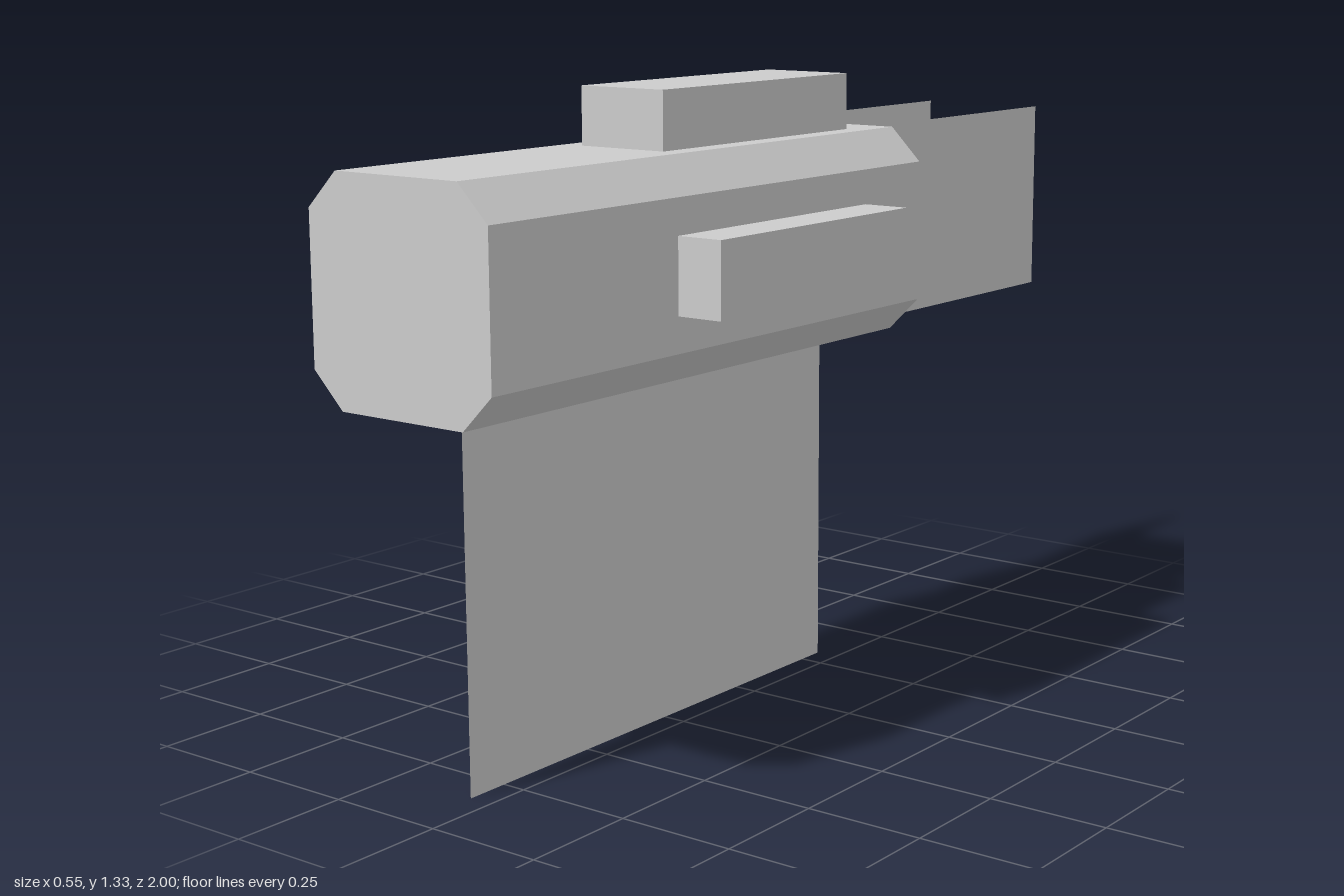
import * as THREE from 'three';

export function createModel() {
  const group = new THREE.Group();
  const grey = new THREE.MeshStandardMaterial({ color: 0xcccccc });
  const greySheet = new THREE.MeshStandardMaterial({ color: 0xcccccc, side: THREE.DoubleSide });
  grey.name = 'grey';
  greySheet.name = 'greySheet';

  const add = (name, geometry, material = grey) => {
    const mesh = new THREE.Mesh(geometry, material);
    mesh.name = name;
    group.add(mesh);
    return mesh;
  };

  // Box given by its limits on each axis
  const box = (name, [x0, x1], [y0, y1], [z0, z1]) =>
    add(name, new THREE.BoxGeometry(x1 - x0, y1 - y0, z1 - z0))
      .position.set((x0 + x1) / 2, (y0 + y1) / 2, (z0 + z1) / 2);

  // Upright flat sheet lying in the y-z plane
  const sheet = (name, x, [y0, y1], [z0, z1]) => {
    const geometry = new THREE.PlaneGeometry(z1 - z0, y1 - y0).rotateY(Math.PI / 2);
    add(name, geometry, greySheet).position.set(x, (y0 + y1) / 2, (z0 + z1) / 2);
  };

  // Main body: a square bar with chamfered edges
  const cx = -0.05, cy = 0.9875, half = 0.2225, flat = 0.151;
  const outline = [
    [-flat, -half], [flat, -half], [half, -flat], [half, flat],
    [flat, half], [-flat, half], [-half, flat], [-half, -flat],
  ].map(([x, y]) => new THREE.Vector2(x + cx, y + cy));
  const bodyGeometry = new THREE.ExtrudeGeometry(new THREE.Shape(outline), {
    depth: 1.367, bevelEnabled: false,
  });
  add('body', bodyGeometry).position.z = -0.367;

  // Blocks on the top, the left side and the rear
  box('topBlock', [-0.155, 0.053], [1.21, 1.33], [-0.26, 0.37]);
  box('sideBlock', [0.17, 0.275], [0.91, 1.065], [-0.16, 0.475]);
  box('rearBlock', [-0.19, 0.085], [0.865, 1.123], [-0.79, -0.367]);

  // Thin sheets: pair at the rear, one below, one on the right side
  for (const [name, x] of [['rearSheetLeft', 0.093], ['rearSheetRight', -0.203]]) {
    sheet(name, x, [0.79, 1.215], [-1, -0.367]);
  }
  sheet('lowerSheet', cx, [0, 0.767], [-0.31, 0.845]);
  sheet('sideSheet', -0.275, [0.66, 0.895], [-0.21, 0.535]);

  return group;
}
